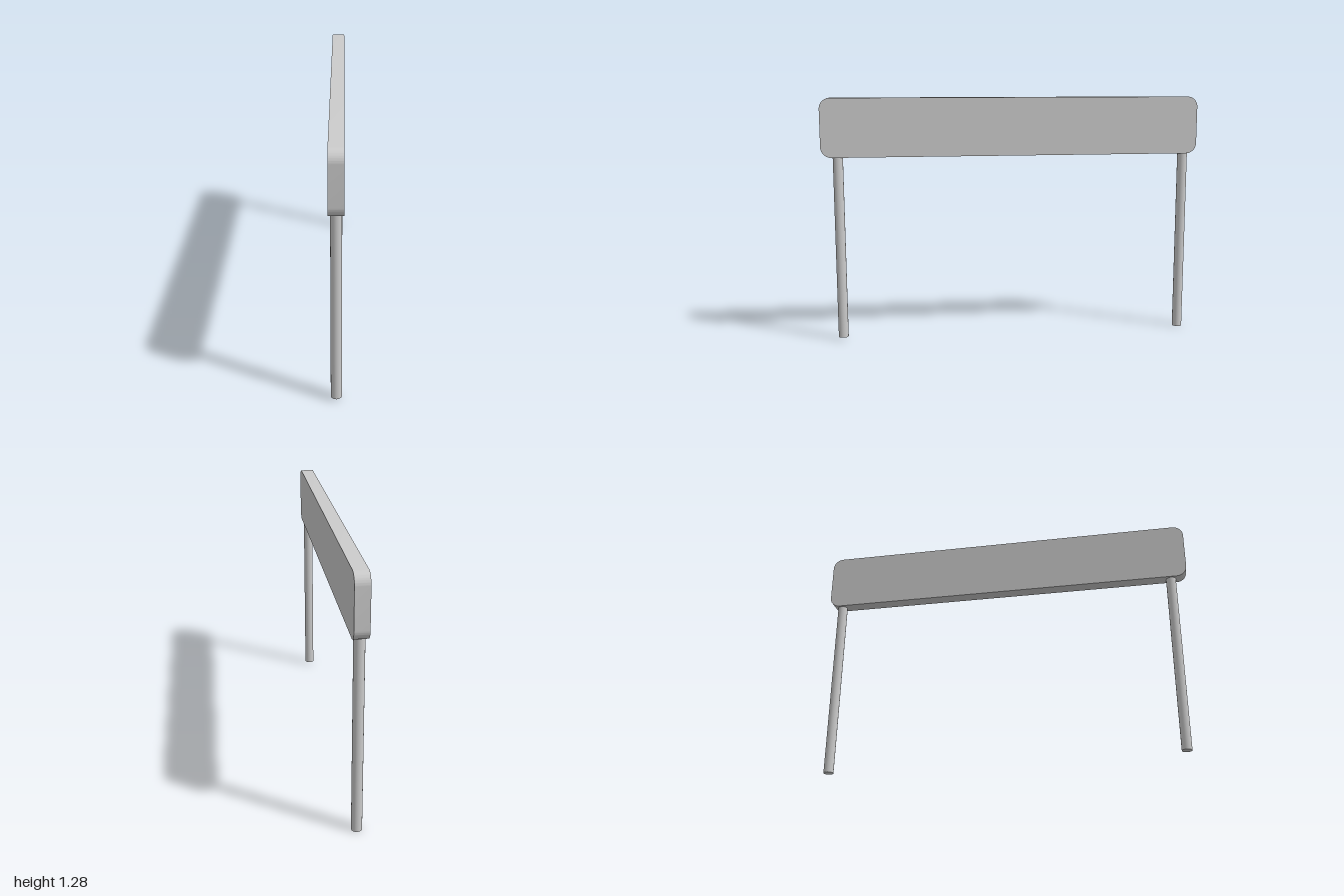
import * as THREE from 'three';
import { toCreasedNormals } from 'three/addons/utils/BufferGeometryUtils.js';

const material = new THREE.MeshStandardMaterial({ color: 0xcccccc });

// Rounded rectangle outline with its lower edge at y0 and upper edge at y1
function roundedOutline(halfLength, y0, y1, r) {
  const s = new THREE.Shape();
  s.absarc(halfLength - r, y0 + r, r, -Math.PI / 2, 0);
  s.absarc(halfLength - r, y1 - r, r, 0, Math.PI / 2);
  s.absarc(-halfLength + r, y1 - r, r, Math.PI / 2, Math.PI);
  s.absarc(-halfLength + r, y0 + r, r, Math.PI, Math.PI * 1.5);
  s.closePath();
  return s;
}

// Upright round post between two heights
function makePost(name, z, bottom, top) {
  const geometry = new THREE.CylinderGeometry(0.026, 0.026, top - bottom, 32);
  const post = new THREE.Mesh(geometry, material);
  post.name = name;
  post.position.set(0, (bottom + top) / 2, z);
  return post;
}

export function createModel() {
  const group = new THREE.Group();
  group.name = 'signBoardOnPosts';

  // Long board with rounded corners, running along z
  const thickness = 0.07;
  const boardGeometry = new THREE.ExtrudeGeometry(roundedOutline(1, 0.975, 1.28, 0.055), {
    depth: thickness, bevelEnabled: false, curveSegments: 12,
  });
  boardGeometry.translate(0, 0, -thickness / 2);
  boardGeometry.rotateY(-Math.PI / 2);
  const board = new THREE.Mesh(toCreasedNormals(boardGeometry, 0.6), material);
  board.name = 'board';
  group.add(board);

  // Two posts; the front one ends slightly higher
  group.add(makePost('frontPost', 0.915, 0.014, 0.976));
  group.add(makePost('backPost', -0.935, 0, 0.976));

  return group;
}
